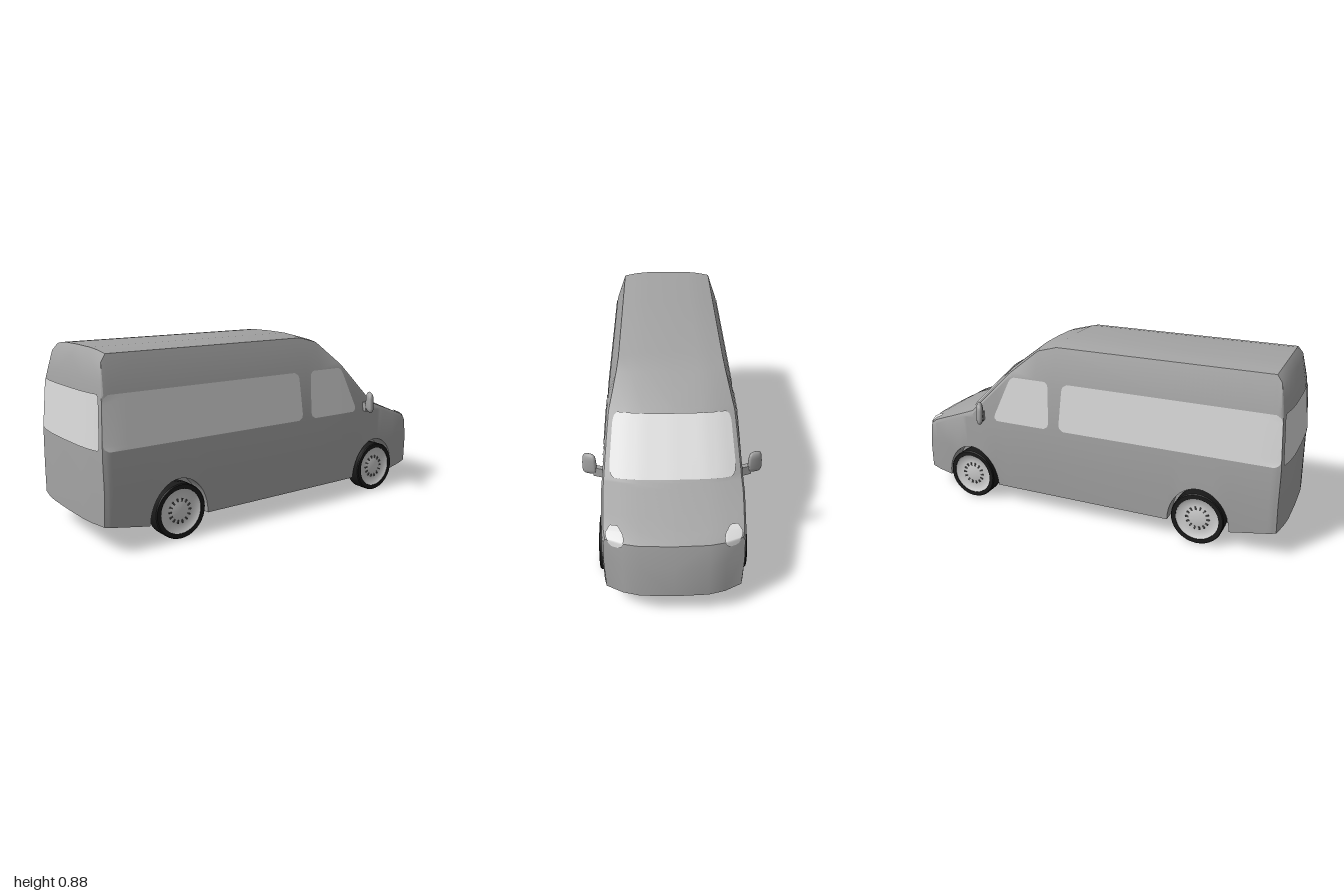
import * as THREE from 'three';
import { toCreasedNormals } from 'three/addons/utils/BufferGeometryUtils.js';

const mat = (name, color, side = THREE.FrontSide) => {
  const m = new THREE.MeshStandardMaterial({ color, side });
  m.name = name;
  return m;
};

// Piecewise linear lookup: rows are [key, ...values], returns the values
function lookup(rows, k) {
  let i = 0;
  while (i < rows.length - 2 && k > rows[i + 1][0]) i++;
  const a = rows[i], b = rows[i + 1];
  const t = Math.min(1, Math.max(0, (k - a[0]) / (b[0] - a[0])));
  return a.slice(1).map((v, n) => v + (b[n + 1] - v) * t);
}

// Outline of the roof, screen, bonnet and nose: [x, edge height, bow at centre, crown]
const KEYS = [
  [-0.972, 0.13, -0.028, 0], [-0.97, 0.45, -0.028, 0], [-0.955, 0.7, -0.022, 0],
  [-0.93, 0.83, -0.02, 0.005], [-0.905, 0.862, -0.01, 0.018], [0.17, 0.862, 0, 0.018],
  [0.27, 0.835, 0.02, 0.012], [0.42, 0.71, 0.04, 0.005], [0.64, 0.485, 0.045, 0.01],
  [0.88, 0.395, 0.03, 0.006], [0.915, 0.37, 0.055, 0], [0.925, 0.27, 0.068, 0], [0.93, 0.115, 0.07, 0],
];
const SIDE = [[0.09, 0.324], [0.25, 0.333], [0.45, 0.326], [0.7, 0.301], [0.862, 0.257]];
const TAPER = [[-0.972, 0.98], [-0.945, 1], [0.4, 1], [0.7, 0.985], [0.88, 0.95], [0.93, 0.915]];
const FLOOR = [[-0.972, 0.13], [-0.76, 0.09], [0.8, 0.09], [0.93, 0.115]];
const BOW = [[0, 1], [0.5, 0.9], [0.75, 0.6], [1, 0]];
const AXLES = [-0.6, 0.65];
const ARCH = 0.153;

const sideZ = (x, y) => lookup(SIDE, y)[0] * lookup(TAPER, x)[0];
const bowAt = f => lookup(BOW, Math.abs(f))[0];

// Point on the upper skin of a station, f = -1..1 across the van
function skin([x, ye, bow, crown], f) {
  const end = x < -0.971 || x > 0.929;
  const ze = sideZ(x, ye) - (end ? 0 : 0.008);
  return new THREE.Vector3(x + bow * bowAt(f), ye + crown * bowAt(f), ze * f);
}

// Half cross-section from the floor centre, round the side, to the roof centre
function section(st) {
  const [x, ye, bow] = st;
  const end = x < -0.971 || x > 0.929;
  const yb = lookup(FLOOR, x)[0];
  let arch = yb;
  for (const a of AXLES) {
    const d = (x - a) / ARCH;
    if (Math.abs(d) < 1) arch = Math.max(arch, 0.09 + 0.195 * Math.sqrt(1 - d * d));
  }
  const w = sideZ(x, yb), fx = f => x + (end ? bow * bowAt(f) : 0);
  const pts = [0, 0.5, 0.75].map(f => new THREE.Vector3(fx(f), yb, w * f));
  pts.push(new THREE.Vector3(fx(0.75), arch, w * 0.75));
  const top = Math.max(yb, ye - 0.018);
  for (const y of [arch, Math.max(0.27, arch + 0.01), 0.45, 0.7]) {
    const yy = Math.min(y, top);
    pts.push(new THREE.Vector3(x, yy, sideZ(x, yy)));
  }
  for (const f of [1, 0.75, 0.5, 0]) pts.push(skin(st, f));
  return pts;
}

function bodyGeometry() {
  const extra = [-0.945, -0.76, 0.4, 0.7, 0.8];
  for (const a of AXLES)
    for (let i = 0; i <= 20; i++) extra.push(a - ARCH * Math.cos(i * Math.PI / 20));
  const stations = [...KEYS, ...extra.map(x => [x, ...lookup(KEYS, x)])].sort((a, b) => a[0] - b[0]);
  const rings = stations.map(section);
  const pos = [], e1 = new THREE.Vector3(), e2 = new THREE.Vector3();
  const tri = (a, b, c) => {
    if (e1.subVectors(b, a).cross(e2.subVectors(c, a)).length() < 1e-9) return;
    for (const p of [a, b, c]) pos.push(p.x, p.y, p.z);
    for (const p of [a, c, b]) pos.push(p.x, p.y, -p.z);
  };
  for (let s = 0; s < rings.length - 1; s++)
    for (let j = 0; j < rings[s].length - 1; j++) {
      const a = rings[s][j], b = rings[s + 1][j], c = rings[s + 1][j + 1], d = rings[s][j + 1];
      tri(a, b, c);
      tri(a, c, d);
    }
  const g = new THREE.BufferGeometry();
  g.setAttribute('position', new THREE.Float32BufferAttribute(pos, 3));
  return toCreasedNormals(g, 0.5);
}

// Thin plate with rounded corners laid over a surface; at(u, v) with u, v in 0..1
function plate(at, ru = 0.05, rv = 0.2, n = 20) {
  const g = new THREE.PlaneGeometry(1, 1, n, n), p = g.attributes.position;
  for (let i = 0; i < p.count; i++) {
    const v = p.getY(i) + 0.5;
    const k = Math.max(0, 1 - Math.min(v, 1 - v) / rv);
    const u = 0.5 + p.getX(i) * (1 - 2 * ru * (1 - Math.sqrt(1 - k * k)));
    const q = at(u, v);
    p.setXYZ(i, q.x, q.y, q.z);
  }
  g.computeVertexNormals();
  return g;
}

// Surface spanned between two (fractional) key stations
const skinPatch = (s0, s1, f0, f1, dx, dy) => (u, v) => {
  const s = s0 + (s1 - s0) * v, i = Math.min(KEYS.length - 2, Math.floor(s));
  const f = f0 + (f1 - f0) * u;
  const p = skin(KEYS[i], f).lerp(skin(KEYS[i + 1], f), s - i);
  return p.add(new THREE.Vector3(dx, dy, 0));
};

export function createModel() {
  const paint = mat('bodyGrey', 0xa3a3a3);
  const glass = mat('paleGlass', 0xdadada, THREE.DoubleSide);
  const lamp = mat('lampWhite', 0xdedede, THREE.DoubleSide);
  const rubber = mat('tyreBlack', 0x1a1a1a);
  const alloy = mat('rimSilver', 0xcfcfcf, THREE.DoubleSide);
  const dark = mat('boltGrey', 0x555555);
  const van = new THREE.Group();
  van.name = 'van';
  const add = (name, geo, m, parent = van) => {
    const mesh = new THREE.Mesh(geo, m);
    mesh.name = name;
    parent.add(mesh);
    return mesh;
  };

  add('body', bodyGeometry(), paint);

  // Front and rear glass
  add('windscreen', plate(skinPatch(7.97, 7, 0.93, -0.93, 0.004, 0.004), 0.04), glass);
  add('rearWindow', plate(skinPatch(1.04, 2, -0.98, 0.98, -0.005, 0), 0.02, 0.1), glass);

  for (const side of [1, -1]) {
    const label = side > 0 ? 'Left' : 'Right';
    const sideGlass = (xr0, xr1, xl0, xl1) => (u, v) => {
      const x0 = xr0 + (xr1 - xr0) * v, x1 = xl0 + (xl1 - xl0) * v;
      const x = x0 + (x1 - x0) * u, y = 0.457 + 0.24 * v;
      return new THREE.Vector3(x, y, side * (sideZ(x, y) + 0.004));
    };
    add('sideWindow' + label, plate(sideGlass(-0.968, -0.953, 0.132, 0.117), 0.025, 0.15), glass);
    add('cabWindow' + label, plate(sideGlass(0.187, 0.195, 0.51, 0.405), 0.08, 0.15), glass);
    add('headlight' + label, plate(skinPatch(10.25, 8.9, side * 0.72, side * 0.98, 0.004, 0.004), 0.3, 0.45), lamp);

    // Door mirror: swept-back housing on a short arm
    const mirror = new THREE.Group();
    mirror.name = 'mirror' + label;
    const shell = add('mirrorHousing', new THREE.SphereGeometry(1, 16, 12), paint, mirror);
    const p = shell.geometry.attributes.position;
    const box = v => Math.sign(v) * Math.pow(Math.abs(v), 0.55);
    for (let i = 0; i < p.count; i++) {
      const y = box(p.getY(i)), z = box(p.getZ(i));
      p.setXYZ(i, p.getX(i) * 0.02 - z * 0.016, y * 0.053 - z * 0.004, z * (0.034 - y * 0.003));
    }
    shell.geometry.computeVertexNormals();
    shell.position.set(0.55, 0.508, 0.38);
    const arm = add('mirrorArm', new THREE.BoxGeometry(0.024, 0.045, 0.05), paint, mirror);
    arm.position.set(0.568, 0.476, 0.335);
    arm.rotation.y = -0.35;
    mirror.scale.z = side;
    van.add(mirror);

    // Wheels, built along the axle and turned outward
    AXLES.forEach((x, i) => {
      const wheel = new THREE.Group();
      wheel.name = (i ? 'frontWheel' : 'rearWheel') + label;
      const lathe = pts => toCreasedNormals(
        new THREE.LatheGeometry(pts.map(q => new THREE.Vector2(...q)), 36), 0.6);
      add('tyre', lathe([[0.001, 0], [0.127, 0], [0.13, 0.005], [0.13, 0.077], [0.126, 0.082],
        [0.106, 0.082], [0.104, 0.06]]), rubber, wheel);
      add('rim', lathe([[0.107, 0.08], [0.098, 0.074], [0.06, 0.066], [0.048, 0.07], [0.001, 0.072]]), alloy, wheel);
      for (let b = 0; b < 14; b++) {
        const a = b * Math.PI / 7;
        const bolt = add('bolt', new THREE.BoxGeometry(0.016, 0.006, 0.007), dark, wheel);
        bolt.position.set(Math.cos(a) * 0.052, 0.07, Math.sin(a) * 0.052);
        bolt.rotation.y = -a;
      }
      wheel.rotation.x = side * Math.PI / 2;
      wheel.position.set(x, 0.13, side * 0.256);
      van.add(wheel);
    });
  }
  return van;
}
